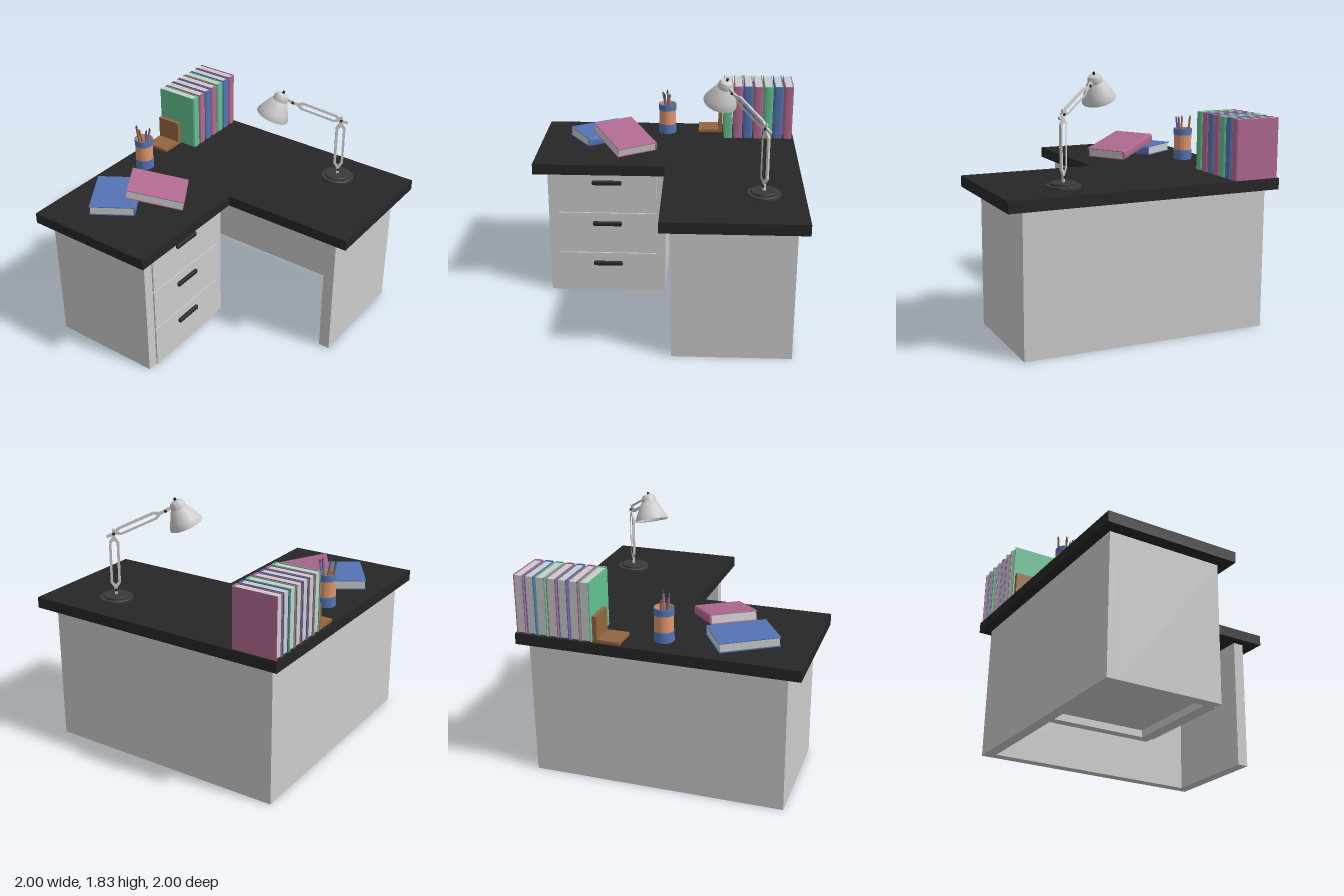
import * as THREE from 'three';
import { toCreasedNormals } from 'three/addons/utils/BufferGeometryUtils.js';
import { RoundedBoxGeometry } from 'three/addons/geometries/RoundedBoxGeometry.js';

const mat = (color, side = THREE.FrontSide) => new THREE.MeshStandardMaterial({ color, side });
const GREY = mat(0xcccccc), SHADE = mat(0xcccccc, THREE.DoubleSide);
const BLACK = mat(0x262626), DARK = mat(0x3a3a3a);
const PINK = mat(0xb06a90), BLUE = mat(0x5474b4), GREEN = mat(0x62c090);
const BROWN = mat(0x94663f), ORANGE = mat(0xe0966e, THREE.DoubleSide);
const TOP = 1.09;

function add(parent, name, geometry, material, x = 0, y = 0, z = 0) {
  const mesh = new THREE.Mesh(geometry, material);
  mesh.name = name;
  mesh.position.set(x, y, z);
  parent.add(mesh);
  return mesh;
}

// Box given by its minimum and maximum corners
function block(parent, name, material, [x0, y0, z0], [x1, y1, z1]) {
  return add(parent, name, new THREE.BoxGeometry(x1 - x0, y1 - y0, z1 - z0), material,
    (x0 + x1) / 2, (y0 + y1) / 2, (z0 + z1) / 2);
}

function group(parent, name, x = 0, y = 0, z = 0) {
  const g = new THREE.Group();
  g.name = name;
  g.position.set(x, y, z);
  parent.add(g);
  return g;
}

const points = (list) => list.map(([x, y]) => new THREE.Vector2(x, y));

function extrude(shape, depth) {
  return new THREE.ExtrudeGeometry(shape, { depth, bevelEnabled: false }).translate(0, 0, -depth / 2);
}

function lathe(profile, segments = 40) {
  return toCreasedNormals(new THREE.LatheGeometry(points(profile), segments), 0.5);
}

function buildDesk(root) {
  const desk = group(root, 'desk');
  // L-shaped top, drawn in plan with z flipped
  const plan = new THREE.Shape(points([[-1, -1], [0, -1], [0, 0], [1, 0], [1, 1], [-1, 1]]));
  const top = add(desk, 'desktop', extrude(plan, 0.08), BLACK, 0, TOP - 0.04, 0);
  top.rotation.x = -Math.PI / 2;

  // Panels of the kneehole
  const h = 1.01;
  block(desk, 'backPanel', GREY, [-0.93, 0, -0.93], [0.88, h, -0.85]);
  block(desk, 'leftPanel', GREY, [0.795, 0, -0.85], [0.88, h, -0.08]);
  block(desk, 'rightPanel', GREY, [-0.93, 0, -0.85], [-0.85, h, 0.9]);

  // Drawer cabinet with a recessed floor
  block(desk, 'cabinetBack', GREY, [-0.85, 0, 0], [-0.08, h, 0.07]);
  block(desk, 'cabinetFront', GREY, [-0.85, 0, 0.82], [-0.08, h, 0.9]);
  block(desk, 'cabinetSide', GREY, [-0.16, 0, 0.07], [-0.08, h, 0.82]);
  block(desk, 'cabinetFloor', GREY, [-0.85, 0.05, 0.07], [-0.16, 0.08, 0.82]);
  for (let i = 0; i < 3; i++) {
    const y = i * 0.34;
    block(desk, 'drawerFront', GREY, [-0.08, y, 0.07], [-0.068, y + 0.33, 0.82]);
    add(desk, 'drawerHandle', new RoundedBoxGeometry(0.028, 0.036, 0.225, 3, 0.012), BLACK,
      -0.058, 0.245 + y, 0.447);
  }
}

// Book lying flat: spine towards +x, thickness in y, height in z
function buildBook(parent, name, material) {
  const book = group(parent, name);
  const w = 0.168, t = 0.034, c = 0.006;
  const cover = new THREE.Shape(points([
    [-w, -t], [w - 0.012, -t], [w - 0.003, -t + 0.006], [w, -0.012], [w, 0.012], [w - 0.003, t - 0.006],
    [w - 0.012, t], [-w, t], [-w, t - c], [w - 0.014, t - c], [w - 0.014, -t + c], [-w, -t + c],
  ]));
  add(book, 'cover', extrude(cover, 0.426), material);
  add(book, 'pages', new THREE.BoxGeometry(0.314, 2 * (t - c), 0.414), GREY, -0.004, 0, 0);
  return book;
}

function buildBooks(root) {
  const row = group(root, 'bookRow');
  [PINK, BLUE, GREEN, PINK, BLUE, PINK, GREEN].forEach((m, i) => {
    const book = buildBook(row, 'standingBook', m);
    book.rotation.x = Math.PI / 2;
    book.position.set(-0.82, TOP + 0.213, -0.953 + i * 0.0797);
  });
  const flat = buildBook(root, 'flatBook', BLUE);
  flat.position.set(-0.645, TOP + 0.036, 0.52);
  flat.rotation.y = 0.568;
  const leaning = buildBook(root, 'leaningBook', PINK);
  leaning.position.set(-0.41, 1.177, 0.328);
  leaning.rotation.set(0.215, 2.13, 0, 'YXZ');

  const bookend = group(root, 'bookend');
  block(bookend, 'bookendBase', BROWN, [-0.98, TOP, -0.4], [-0.79, TOP + 0.022, -0.24]);
  block(bookend, 'bookendUpright', BROWN, [-0.98, TOP, -0.432], [-0.79, TOP + 0.187, -0.4]);
}

function buildPencilCup(root) {
  const cup = group(root, 'pencilCup', -0.795, TOP, 0.013);
  add(cup, 'cupBody', lathe([[0, 0.002], [0.067, 0.002], [0.067, 0.238], [0.061, 0.238], [0.061, 0.015], [0, 0.015]]), ORANGE);
  const band = (name, y0, y1) =>
    add(cup, name, lathe([[0.066, y0], [0.07, y0], [0.07, y1], [0.062, y1]]), mat(0x5474b4, THREE.DoubleSide));
  band('lowerBand', 0, 0.075);
  band('upperBand', 0.19, 0.24);

  // Pencils: foot to tip
  const up = new THREE.Vector3(0, 1, 0);
  [
    [[-0.03, -0.01], [-0.066, 0.005], BROWN],
    [[0.02, -0.02], [-0.012, 0.04], BROWN],
    [[0.01, 0.01], [0.05, 0.022], BLUE],
    [[0.02, 0.0], [0.048, -0.02], PINK],
  ].forEach(([[x0, z0], [x1, z1], m]) => {
    const foot = new THREE.Vector3(x0, 0.02, z0);
    const dir = new THREE.Vector3(x1, 0.34, z1).sub(foot);
    const pencil = group(cup, 'pencil', x0, 0.02, z0);
    pencil.quaternion.setFromUnitVectors(up, dir.clone().normalize());
    const len = dir.length();
    add(pencil, 'shaft', new THREE.CylinderGeometry(0.008, 0.008, len - 0.025, 8), m, 0, (len - 0.025) / 2, 0);
    add(pencil, 'tip', new THREE.ConeGeometry(0.008, 0.025, 8), DARK, 0, len - 0.0125, 0);
  });
}

// Slotted arm in the xy plane running from a to b
function buildArm(parent, name, [ax, ay], [bx, by], w, taper) {
  const L = Math.hypot(bx - ax, by - ay), t = 0.01;
  const half = [[0, t], [taper, t], [taper + 0.04, w], [L - taper - 0.04, w], [L - taper, t], [L, t]];
  const shape = new THREE.Shape(points([...half, ...half.map(([x, y]) => [x, -y]).reverse()]));
  const slot = w - 0.018, s = taper + 0.028;
  shape.holes.push(new THREE.Path(points([
    [s, 0], [s + 0.02, slot], [L - s - 0.02, slot], [L - s, 0], [L - s - 0.02, -slot], [s + 0.02, -slot],
  ])));
  const arm = add(parent, name, extrude(shape, 0.016), GREY, ax, ay, 0);
  arm.rotation.z = Math.atan2(by - ay, bx - ax);
}

function buildLamp(root) {
  // Local x points from the base towards the shade
  const lamp = group(root, 'deskLamp', 0.51, TOP, -0.71);
  lamp.rotation.y = Math.atan2(-0.615, -0.79);
  add(lamp, 'lampBase', lathe([[0, 0], [0.12, 0], [0.12, 0.018], [0.115, 0.022], [0.092, 0.022], [0.092, 0.034], [0.088, 0.037], [0, 0.037]]), DARK);
  buildArm(lamp, 'lowerArm', [0, 0.03], [0, 0.52], 0.036, 0.055);
  buildArm(lamp, 'upperArm', [-0.05, 0.465], [0.385, 0.652], 0.03, 0.06);
  [[0, 0.07], [0, 0.487], [0.365, 0.643]].forEach(([x, y]) => {
    const bolt = add(lamp, 'hingeBolt', new THREE.CylinderGeometry(0.01, 0.01, 0.03, 12), BLACK, x, y, 0);
    bolt.rotation.x = Math.PI / 2;
  });

  // Shade opening down and outwards
  const head = group(lamp, 'lampHead', 0.51, 0.54, 0);
  head.rotation.z = 0.4;
  add(head, 'lampShade', lathe([[0.115, 0.004], [0.122, 0], [0.122, 0.008], [0.104, 0.05], [0.064, 0.128], [0.056, 0.136],
    [0.054, 0.152], [0.052, 0.168], [0.042, 0.184], [0.024, 0.192], [0, 0.194]]), SHADE);
  add(head, 'shadeKnob', new THREE.CylinderGeometry(0.009, 0.009, 0.02, 12), BLACK, 0, 0.2, 0);
  add(head, 'shadeBracket', new THREE.BoxGeometry(0.04, 0.022, 0.016), GREY, -0.072, 0.155, 0);
}

export function createModel() {
  const root = new THREE.Group();
  root.name = 'cornerDesk';
  buildDesk(root);
  buildBooks(root);
  buildPencilCup(root);
  buildLamp(root);
  return root;
}
